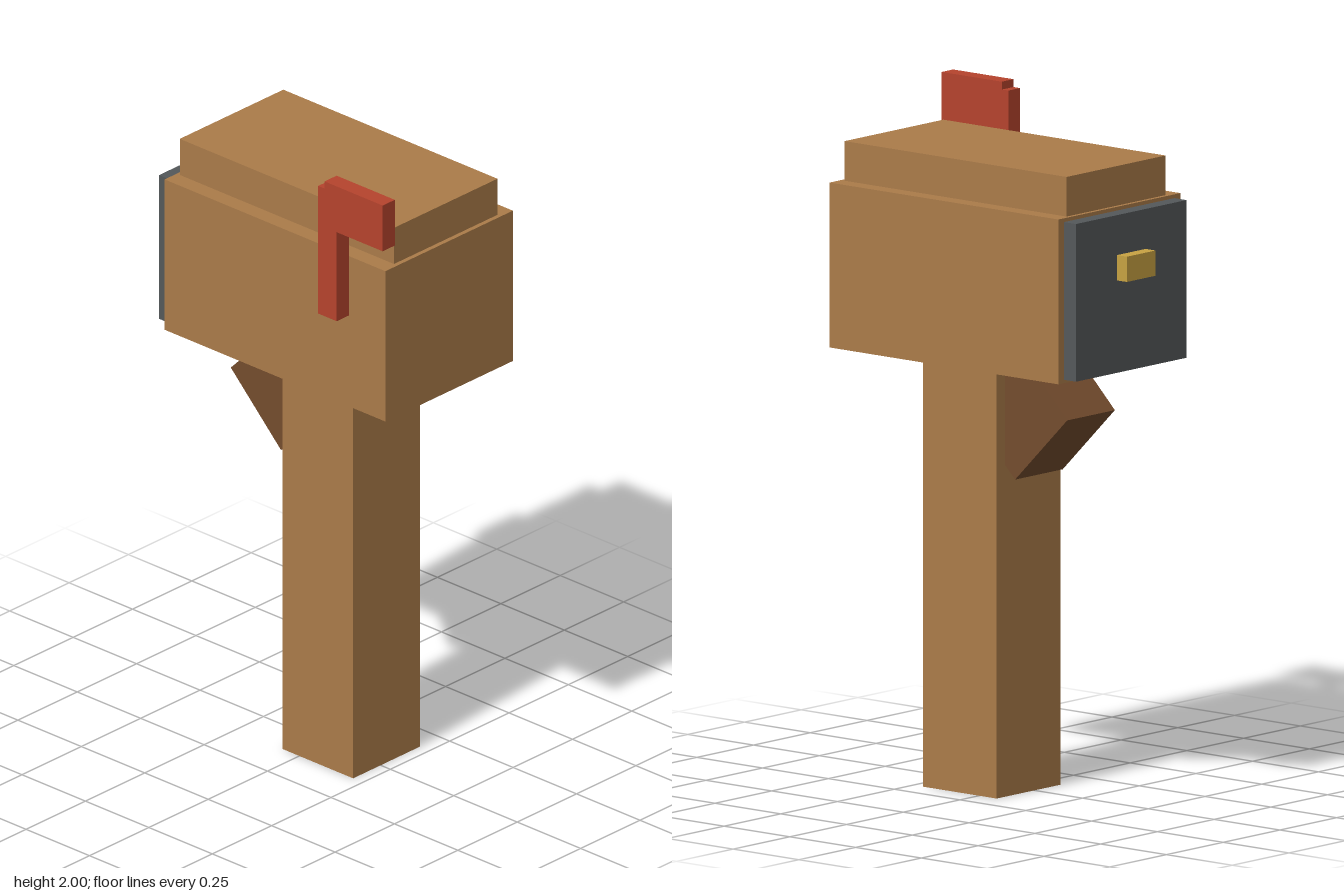
import * as THREE from 'three';

const material = (name, color) => {
  const m = new THREE.MeshStandardMaterial({ color });
  m.name = name;
  return m;
};

export function createModel() {
  const wood = material('wood', 0xaa7b49);
  const darkWood = material('dark wood', 0x734c2d);
  const iron = material('iron', 0x54585a);
  const brass = material('brass', 0xc7a242);
  const red = material('flag red', 0xb5432d);

  const model = new THREE.Group();
  model.name = 'mailbox';

  // Box given by its extents along each axis
  const box = (name, mat, [x0, x1], [y0, y1], [z0, z1]) => {
    const mesh = new THREE.Mesh(new THREE.BoxGeometry(x1 - x0, y1 - y0, z1 - z0), mat);
    mesh.position.set((x0 + x1) / 2, (y0 + y1) / 2, (z0 + z1) / 2);
    mesh.name = name;
    model.add(mesh);
    return mesh;
  };

  // Post and box
  box('post', wood, [-0.067, 0.212], [0, 1.275], [-0.166, 0.116]);
  box('body', wood, [-0.413, 0.457], [1.275, 1.758], [-0.295, 0.242]);
  box('lid', wood, [-0.401, 0.443], [1.758, 1.874], [-0.245, 0.191]);

  // Door with its handle
  box('door', iron, [-0.459, -0.413], [1.285, 1.747], [-0.271, 0.216]);
  box('handle', brass, [-0.497, -0.459], [1.556, 1.63], [-0.091, 0.036]);

  // Diagonal brace between post and box
  const brace = box('brace', darkWood, [-0.246, 0.034], [0.992, 1.272], [-0.13, 0.08]);
  brace.rotation.z = Math.PI / 4;

  // Signal flag: staff and banner in one outline
  const outline = new THREE.Shape([
    [0.24, 1.567], [0.313, 1.567], [0.313, 1.853], [0.494, 1.853],
    [0.494, 2], [0.265, 2], [0.265, 1.977], [0.24, 1.977],
  ].map(([x, y]) => new THREE.Vector2(x, y)));
  const flag = new THREE.Mesh(
    new THREE.ExtrudeGeometry(outline, { depth: 0.051, bevelEnabled: false }), red);
  flag.position.z = 0.242;
  flag.name = 'flag';
  model.add(flag);

  return model;
}
